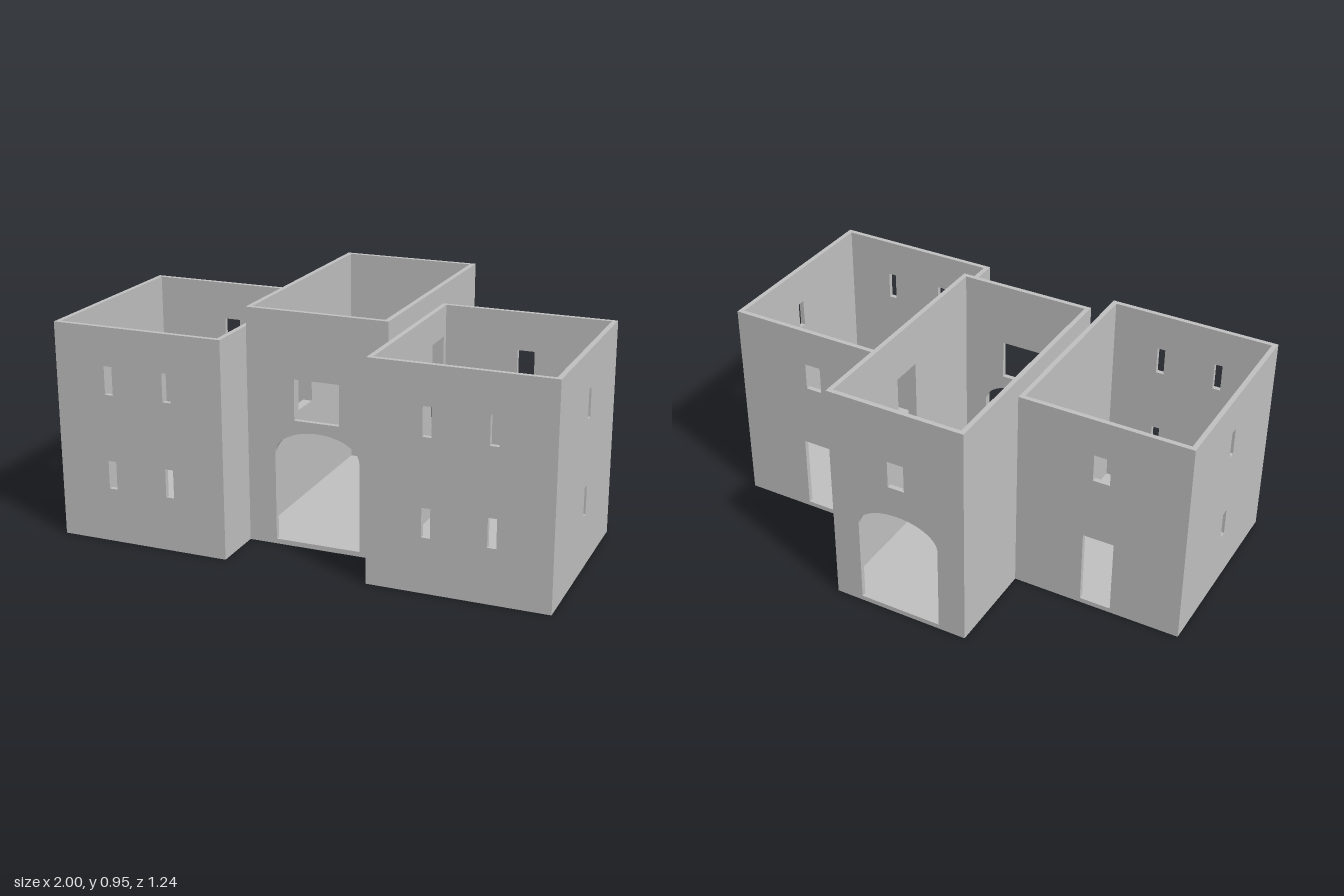
import * as THREE from 'three';

const T = 0.02; // wall and floor thickness

// Rectangular opening
function rect(x0, x1, y0, y1) {
  return new THREE.Path([[x0, y0], [x1, y0], [x1, y1], [x0, y1]].map(p => new THREE.Vector2(...p)));
}

// Gate opening with a flattened elliptical head
function arch(halfWidth, y0, spring, top) {
  const p = new THREE.Path();
  p.moveTo(-halfWidth, y0);
  p.lineTo(halfWidth, y0);
  p.lineTo(halfWidth, spring);
  p.absellipse(0, spring, halfWidth, top - spring, 0, Math.PI, false, 0);
  p.lineTo(-halfWidth, y0);
  return p;
}

export function createModel() {
  const stone = new THREE.MeshStandardMaterial({ color: 0xc0c0c0 });
  stone.name = 'grey stone';
  const model = new THREE.Group();
  model.name = 'gatehouse';

  // Upright slab from a to b along its own axis, pierced by the openings
  function wall(name, a, b, height, holes) {
    const shape = new THREE.Shape([[a, 0], [b, 0], [b, height], [a, height]].map(p => new THREE.Vector2(...p)));
    shape.holes.push(...holes);
    const geometry = new THREE.ExtrudeGeometry(shape, { depth: T, bevelEnabled: false, curveSegments: 24 });
    const mesh = new THREE.Mesh(geometry, stone);
    mesh.name = name;
    return mesh;
  }

  // Open-topped block: four walls and a floor
  function block(name, x0, x1, z0, z1, height, holes) {
    const group = new THREE.Group();
    group.name = name;
    const front = wall('frontWall', x0, x1, height, holes.front);
    front.position.z = z1 - T;
    const back = wall('backWall', x0, x1, height, holes.back);
    back.position.z = z0;
    group.add(front, back);
    for (const [label, x, openings] of [['leftWall', x1, holes.left], ['rightWall', x0 + T, holes.right]]) {
      const side = wall(label, z0 + T, z1 - T, height, openings);
      side.rotation.y = -Math.PI / 2; // shape x runs along z
      side.position.x = x;
      group.add(side);
    }
    const floor = new THREE.Mesh(new THREE.BoxGeometry(x1 - x0 - 2 * T, T, z1 - z0 - 2 * T), stone);
    floor.name = 'floor';
    floor.position.set((x0 + x1) / 2, T / 2, (z0 + z1) / 2);
    group.add(floor);
    model.add(group);
  }

  const storeys = [[0.22, 0.335], [0.605, 0.72]]; // slit window heights
  const innerDoor = () => [rect(-0.165, -0.03, 0.41, 0.75)];

  // Central gate block
  block('gateBlock', -0.29, 0.29, -0.62, 0.4, 0.95, {
    front: [arch(0.175, T, 0.38, 0.477), rect(-0.093, 0.093, 0.52, 0.685)],
    back: [arch(0.175, T, 0.38, 0.477), rect(-0.035, 0.035, 0.605, 0.72)],
    left: innerDoor(),
    right: innerDoor(),
  });

  // Mirrored side wings
  for (const s of [1, -1]) {
    const span = (a, b, y0, y1) => rect(Math.min(s * a, s * b), Math.max(s * a, s * b), y0, y1);
    const outer = storeys.map(([y0, y1]) => rect(0.176, 0.21, y0, y1));
    block(s > 0 ? 'leftWing' : 'rightWing', s > 0 ? 0.29 : -1, s > 0 ? 1 : -0.29, -0.21, 0.62, 0.875, {
      front: storeys.flatMap(([y0, y1]) => [span(0.505, 0.539, y0, y1), span(0.755, 0.789, y0, y1)]),
      back: [span(0.58, 0.71, T, 0.335), span(0.61, 0.68, 0.605, 0.72)],
      left: s > 0 ? outer : innerDoor(),
      right: s > 0 ? innerDoor() : outer,
    });
  }
  return model;
}
